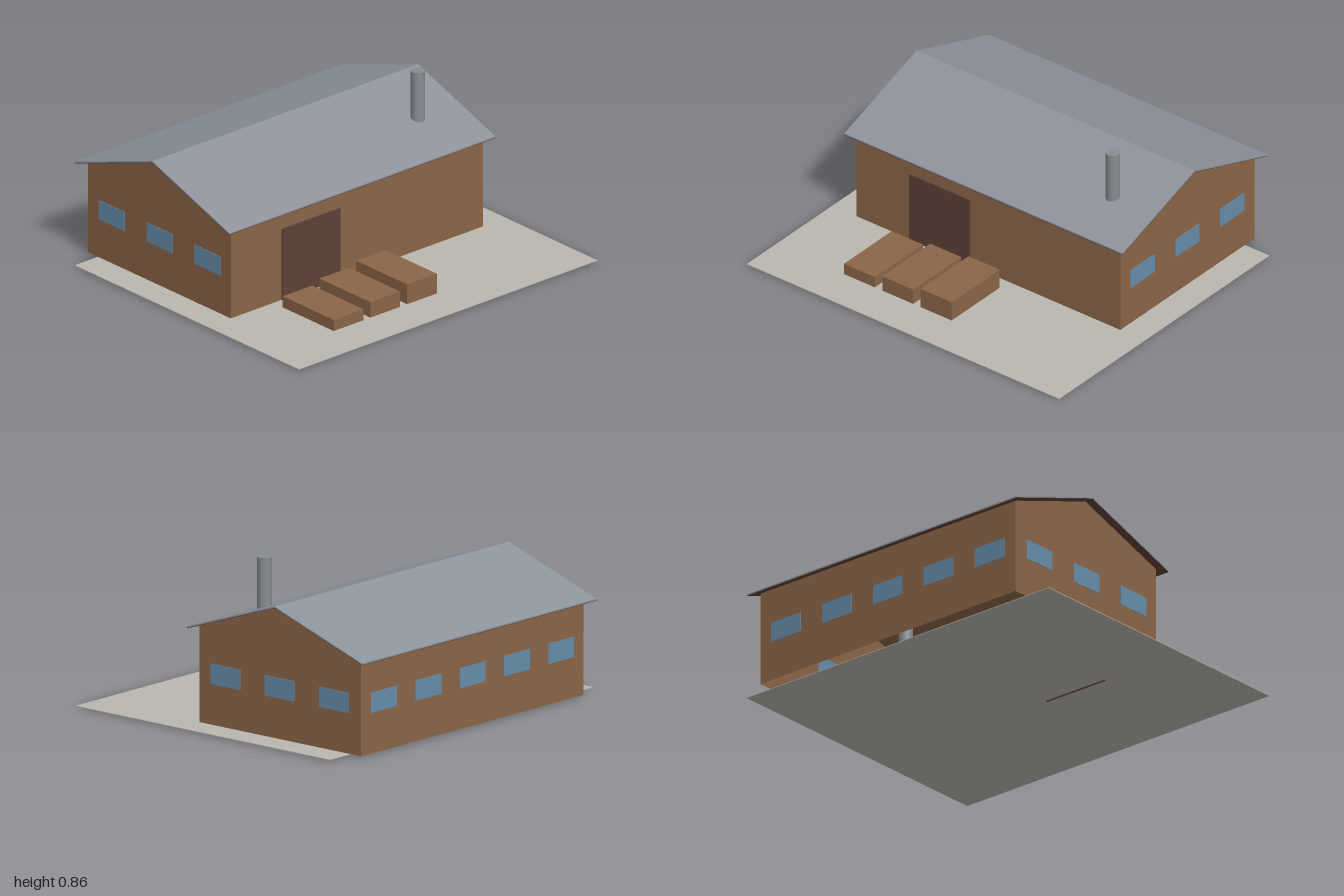
import * as THREE from 'three';

const RIDGE_Z = -0.325, BASE = 0.01, SLOPE = 0.342;
const WALL_X = 0.845, FRONT_Z = 0.217, BACK_Z = -0.862;

function material(name, color, side = THREE.FrontSide) {
  const m = new THREE.MeshStandardMaterial({ color, side });
  m.name = name;
  return m;
}

// Extrude a (z, y) profile along x, centred on x = 0
function extrudeAlongX(points, length) {
  const shape = new THREE.Shape(points.map(([z, y]) => new THREE.Vector2(z, y)));
  const g = new THREE.ExtrudeGeometry(shape, { depth: length, bevelEnabled: false });
  return g.translate(0, 0, -length / 2).rotateY(-Math.PI / 2);
}

// Folded sheet following the roof pitch
function roofSheet(ridgeTop, thickness, halfSpan, length) {
  const eave = ridgeTop - SLOPE * halfSpan;
  return extrudeAlongX([
    [RIDGE_Z - halfSpan, eave - thickness], [RIDGE_Z, ridgeTop - thickness],
    [RIDGE_Z + halfSpan, eave - thickness], [RIDGE_Z + halfSpan, eave],
    [RIDGE_Z, ridgeTop], [RIDGE_Z - halfSpan, eave],
  ], length);
}

// Gabled shell, with the floor left open
function wallShell() {
  const top = 0.694, half = (FRONT_Z - BACK_Z) / 2, eave = top - SLOPE * half;
  const g = extrudeAlongX([
    [BACK_Z, BASE], [FRONT_Z, BASE], [FRONT_Z, eave], [RIDGE_Z, top], [BACK_Z, eave],
  ], WALL_X * 2);
  const p = g.attributes.position, kept = [];
  for (let i = 0; i < p.count; i += 3) {
    const isFloor = [0, 1, 2].every((k) => p.getY(i + k) < BASE + 0.001);
    if (!isFloor) for (let k = 0; k < 3; k++) kept.push(p.getX(i + k), p.getY(i + k), p.getZ(i + k));
  }
  const shell = new THREE.BufferGeometry();
  shell.setAttribute('position', new THREE.Float32BufferAttribute(kept, 3));
  shell.computeVertexNormals();
  return shell;
}

export function createModel() {
  const model = new THREE.Group();
  model.name = 'workshopBuilding';
  const wood = material('woodBrown', 0x8b6547, THREE.DoubleSide);
  const darkWood = material('darkBrown', 0x5d4037);
  const roofGrey = material('roofGrey', 0x8d939b);
  const pipeGrey = material('pipeGrey', 0x888d90);
  const glass = material('windowBlue', 0x668dab);
  const concrete = material('concrete', 0xb9b7ae);

  const add = (name, geometry, mat, x = 0, y = 0, z = 0) => {
    const mesh = new THREE.Mesh(geometry, mat);
    mesh.name = name;
    mesh.position.set(x, y, z);
    model.add(mesh);
    return mesh;
  };
  const box = (name, mat, x0, x1, y0, y1, z0, z1) => add(name,
    new THREE.BoxGeometry(x1 - x0, y1 - y0, z1 - z0), mat,
    (x0 + x1) / 2, (y0 + y1) / 2, (z0 + z1) / 2);

  // Yard slab and walls
  box('yard', concrete, -1, 1, 0.006, BASE, -0.787, 0.905);
  add('walls', wallShell(), wood);

  // Roof sheet with its dark lining
  add('roof', roofSheet(0.705, 0.007, 0.583, 1.782), roofGrey);
  add('roofLining', roofSheet(0.698, 0.003, 0.583, 1.782), darkWood);

  // Chimney pipe
  add('chimney', new THREE.CylinderGeometry(0.037, 0.037, 0.85, 24), pipeGrey, 0.613, 0.435, -0.015);

  // Doorway
  box('door', darkWood, -0.505, -0.115, 0, 0.4, FRONT_Z, FRONT_Z + 0.006);

  // Windows: three on each end, five along the back
  for (const side of [-1, 1]) {
    for (let i = -1; i <= 1; i++) {
      const z = RIDGE_Z + 0.005 + i * 0.36, x = side * WALL_X;
      box('endWindow', glass, x - 0.003, x + 0.003, 0.22, 0.325, z - 0.098, z + 0.098);
    }
  }
  for (let i = -2; i <= 2; i++) {
    const x = i * 0.337;
    box('backWindow', glass, x - 0.098, x + 0.098, 0.22, 0.325, BACK_Z - 0.003, BACK_Z + 0.003);
  }

  // Timber stacks of rising height
  for (let i = 0; i < 3; i++) {
    const x = -0.462 + i * 0.246;
    box('timberStack', wood, x - 0.099, x + 0.099, BASE, 0.071 + i * 0.024, 0.289, 0.675);
  }
  return model;
}
